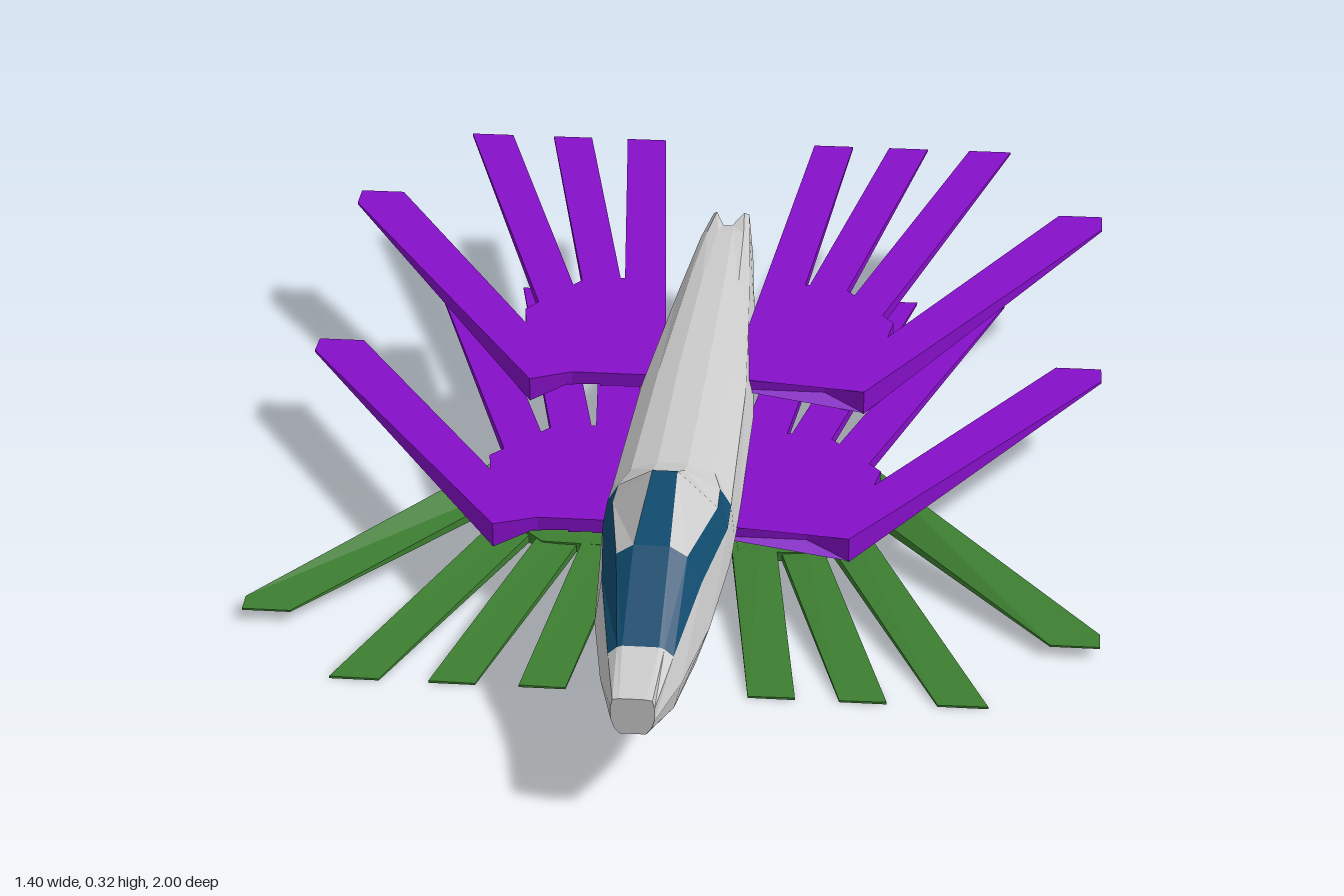
import * as THREE from 'three';

const paint = (color) => new THREE.MeshStandardMaterial({ color, flatShading: true });

// Mesh from a flat list of triangle corners
function facetMesh(name, corners, material) {
  const g = new THREE.BufferGeometry();
  g.setAttribute('position', new THREE.Float32BufferAttribute(corners.flat(), 3));
  g.computeVertexNormals();
  const mesh = new THREE.Mesh(g, material);
  mesh.name = name;
  return mesh;
}

// Fuselage half sections [z, six (x, y) points from keel to roof]
const SECTIONS = [
  [1.0, [.02, .14], [.028, .15], [.033, .165], [.033, .185], [.03, .198], [.02, .2]],
  [0.88, [.025, .098], [.05, .115], [.062, .16], [.05, .205], [.036, .217], [.028, .22]],
  [0.71, [.025, .07], [.068, .095], [.09, .16], [.078, .24], [.055, .283], [.028, .3]],
  [0.5, [.025, .056], [.076, .08], [.105, .16], [.1, .22], [.084, .258], [.02, .32]],
  [0.43, [.025, .06], [.077, .082], [.106, .162], [.1, .225], [.082, .254], [.025, .285]],
  [0.37, [.025, .066], [.076, .086], [.107, .164], [.098, .222], [.068, .252], [.025, .266]],
  [0.0, [.025, .078], [.072, .096], [.103, .165], [.09, .218], [.06, .248], [.025, .26]],
  [-0.4, [.02, .102], [.052, .116], [.075, .168], [.065, .21], [.045, .235], [.02, .243]],
  [-0.66, [.016, .128], [.038, .136], [.052, .172], [.046, .205], [.034, .217], [.014, .22]],
  [-0.8, [.008, .142], [.03, .148], [.036, .172], [.034, .192], [.026, .204], [.008, .208]],
];
// Forked tail: how far each point of the last section is pulled forward
const TAIL_NOTCH = [.08, 0, .03, 0, .02, .09];

function fuselage() {
  const rings = SECTIONS.map(([z, ...pts], s) => {
    const half = pts.map(([x, y], i) => [x, y, z + (s === SECTIONS.length - 1 ? TAIL_NOTCH[i] : 0)]);
    return [...half, ...half.map(([x, y, zz]) => [-x, y, zz]).reverse()];
  });
  const n = 12, hull = [], glass = [], recess = [];
  // Windscreen, side windows and the strip along the roof
  const isGlass = (s, i) => {
    const k = Math.min(i, 10 - i);
    if (s === 1) return k >= 3 && k <= 5;
    if (s === 2) return k === 3 || k === 5;
    return s === 3 && k === 3;
  };
  for (let s = 0; s < rings.length - 1; s++) {
    for (let i = 0; i < n; i++) {
      const j = (i + 1) % n;
      const a = rings[s][i], b = rings[s][j], c = rings[s + 1][j], d = rings[s + 1][i];
      (isGlass(s, i) ? glass : hull).push(a, d, c, a, c, b);
    }
  }
  const nose = rings[0], tail = rings[rings.length - 1];
  for (let i = 0; i < n; i++) {
    const j = (i + 1) % n;
    hull.push(nose[i], nose[j], [0, .17, 1]);
    recess.push(tail[j], tail[i], [0, .175, -.66]);
  }
  const group = new THREE.Group();
  group.name = 'fuselage';
  group.add(
    facetMesh('hull', hull, paint(0xcccccc)),
    facetMesh('canopyGlass', glass, paint(0x104b6e)),
    facetMesh('tailRecess', recess, paint(0x4a0a26)),
  );
  return group;
}

// Wing parts as outlines of [x, distance from root edge, thickness]
const ROOT_PLATE = [[.05, 0, .02], [.22, 0, .02], [.29, -.03, .04], [.33, .22, .022], [.23, .35, .018], [.1, .35, .015]];
const FEATHERS = [
  [[.22, 0, .02], [.29, -.03, .042], [.7, .61, .004], [.7, .66, .003], [.62, .66, .003]],
  ...[[.155, .23, .445, .525], [.1, .17, .29, .365], [.055, .13, .145, .22]].map(([a, b, c, d]) =>
    [[a, 0, .02], [b, 0, .025], [d, .92, .004], [c, .92, .003]]),
];

// Tapered slab with a straight, sloping datum face; up = -1 turns it over
function slab(name, outline, w, side, material) {
  let pts = outline.map(([x, d, t]) => {
    const y = w.rootY + (w.tipY - w.rootY) * d / .92;
    const other = y - w.up * t;
    return { x: x * side, z: w.z + w.run * d, hi: Math.max(y, other), lo: Math.min(y, other) };
  });
  const area = pts.reduce((sum, p, i) => {
    const q = pts[(i + 1) % pts.length];
    return sum + p.z * q.x - p.x * q.z;
  }, 0);
  if (area < 0) pts = pts.reverse();
  const top = pts.map((p) => [p.x, p.hi, p.z]);
  const bottom = pts.map((p) => [p.x, p.lo, p.z]);
  const corners = [];
  pts.forEach((_, i) => {
    const j = (i + 1) % pts.length;
    corners.push(bottom[i], bottom[j], top[j], bottom[i], top[j], top[i]);
    if (i > 0 && j > 0) corners.push(top[0], top[i], top[j], bottom[0], bottom[j], bottom[i]);
  });
  return facetMesh(name, corners, material);
}

// Three pairs of feathered wings; the lower pair is shorter, turned over and swept forward
const WINGS = [
  { name: 'frontWing', color: 0x8510c8, z: .39, run: -1, rootY: .166, tipY: .147, up: 1 },
  { name: 'rearWing', color: 0x8510c8, z: -.08, run: -1, rootY: .2, tipY: .255, up: 1 },
  { name: 'lowerWing', color: 0x3c7d30, z: .035, run: .67, rootY: .06, tipY: 0, up: -1 },
];

export function createModel() {
  const model = new THREE.Group();
  model.name = 'featherWingedCraft';
  model.add(fuselage());
  for (const w of WINGS) {
    const material = paint(w.color);
    for (const side of [1, -1]) {
      const wing = new THREE.Group();
      wing.name = w.name + (side > 0 ? 'Left' : 'Right');
      wing.add(slab('wingRoot', ROOT_PLATE, w, side, material));
      FEATHERS.forEach((f, i) => wing.add(slab('feather' + (i + 1), f, w, side, material)));
      model.add(wing);
    }
  }
  return model;
}
